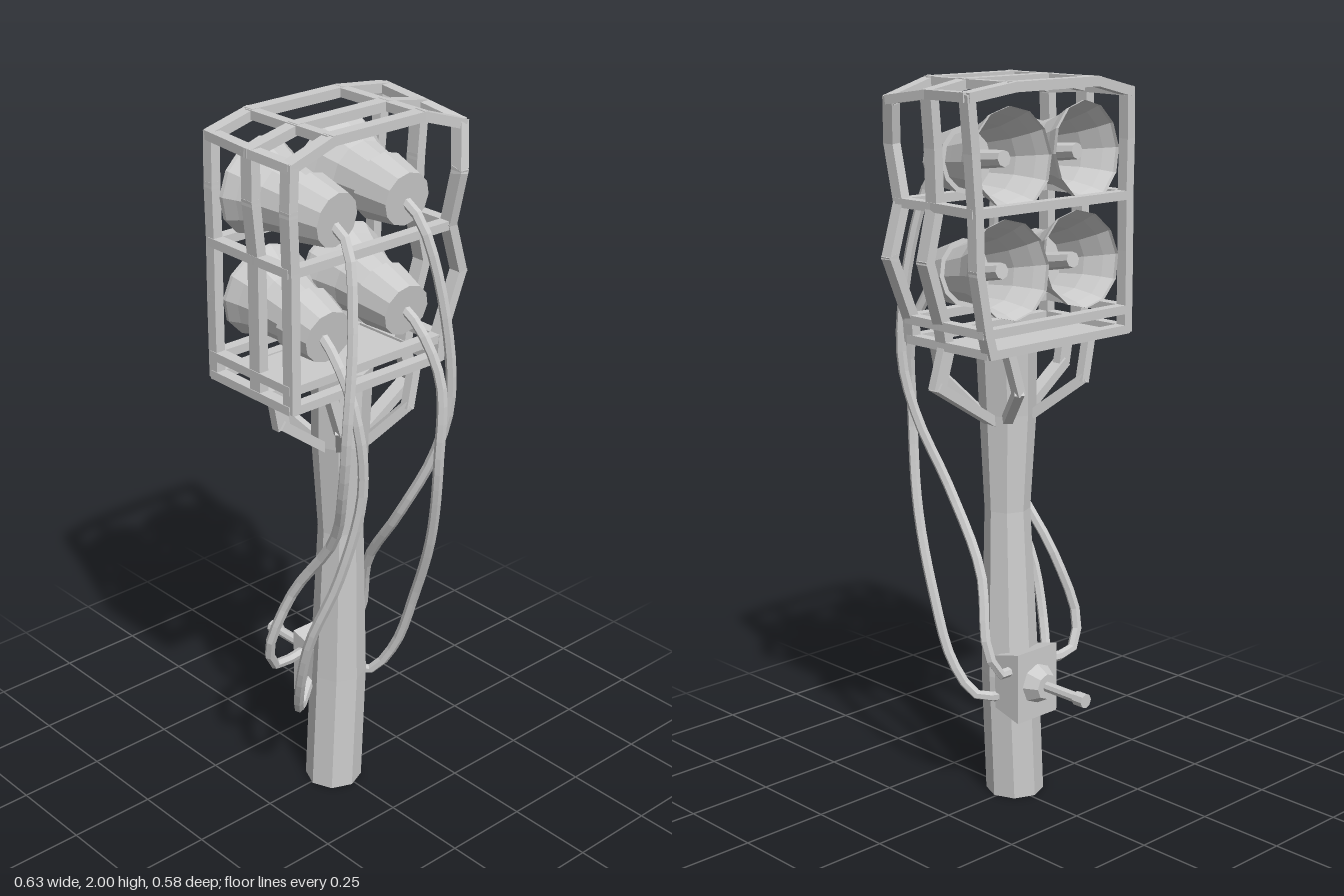
import * as THREE from 'three';

const grey = new THREE.MeshStandardMaterial({ color: 0xcccccc, flatShading: true });
const greyThin = new THREE.MeshStandardMaterial({ color: 0xcccccc, flatShading: true, side: THREE.DoubleSide });
const V = (p) => new THREE.Vector3(...p);

function add(parent, name, geometry, material = grey) {
  const mesh = new THREE.Mesh(geometry, material);
  mesh.name = name;
  parent.add(mesh);
  return mesh;
}

// Rectangular bar between two points
function beam(parent, name, a, b, w, h = w) {
  const p = V(a), q = V(b), dir = q.clone().sub(p);
  const bar = add(parent, name, new THREE.BoxGeometry(w, h, dir.length() + Math.min(w, h) * 0.6));
  bar.position.copy(p).add(q).multiplyScalar(0.5);
  if (Math.abs(dir.y) > 0.9 * dir.length()) bar.up.set(0, 0, 1);
  bar.lookAt(q);
}

function rail(parent, name, points, w, h) {
  for (let i = 1; i < points.length; i++) beam(parent, name, points[i - 1], points[i], w, h);
}

// Crooked octagonal pole lofted through [y, x, z, radius] sections
function makePole(parent) {
  const sections = [
    [0, -0.012, 0.007, 0.081], [0.36, 0.003, 0.01, 0.08], [0.83, -0.002, 0.026, 0.063],
    [1.1, -0.01, 0.032, 0.078], [1.31, 0, 0.028, 0.083],
  ];
  const geo = new THREE.CylinderGeometry(1, 1, 1, 8, sections.length - 1);
  const pos = geo.attributes.position;
  for (let i = 0; i < pos.count; i++) {
    const [y, x, z, r] = sections[Math.round((pos.getY(i) + 0.5) * (sections.length - 1))];
    pos.setXYZ(i, x + pos.getX(i) * r, y, z + pos.getZ(i) * r);
  }
  geo.computeVertexNormals();
  add(parent, 'pole', geo);
}

// Floodlight facing -z: flared reflector, rear housing and bulb
function makeLamp(parent, x, y, tiltX, tiltY) {
  const lamp = new THREE.Group();
  lamp.name = 'floodlight';
  const flare = [[0.076, -0.07], [0.083, -0.03], [0.093, 0.025], [0.114, 0.08], [0.13, 0.112], [0.131, 0.122]];
  add(lamp, 'reflector', new THREE.LatheGeometry(flare.map((p) => new THREE.Vector2(...p)), 12), greyThin);
  add(lamp, 'lampHousing', new THREE.CylinderGeometry(0.092, 0.072, 0.1, 12).translate(0, -0.108, 0));
  add(lamp, 'bulb', new THREE.CylinderGeometry(0.022, 0.026, 0.15, 8).translate(0, 0.01, 0));
  lamp.children.forEach((m) => m.geometry.rotateX(-Math.PI / 2));
  lamp.position.set(x, y, 0);
  lamp.rotation.set(tiltX, tiltY, 0);
  parent.add(lamp);
}

function makeCage(parent) {
  const cage = new THREE.Group();
  cage.name = 'cage';
  parent.add(cage);

  // Posts: points at bottom, lower ring, bulge, middle ring, upper bulge and top
  const left = {
    back: [[-0.285, 1.315, -0.14], [-0.285, 1.37, -0.14], [-0.285, 1.53, -0.14], [-0.283, 1.68, -0.14], [-0.285, 1.83, -0.14], [-0.28, 1.955, -0.143]],
    mid: [[-0.285, 1.315, 0.03], [-0.285, 1.37, 0.03], [-0.285, 1.53, 0.03], [-0.285, 1.68, 0.03], [-0.3, 1.83, 0.03], [-0.298, 1.955, 0.028]],
    front: [[-0.285, 1.315, 0.158], [-0.285, 1.37, 0.158], [-0.285, 1.53, 0.158], [-0.285, 1.68, 0.158], [-0.292, 1.83, 0.16], [-0.285, 1.945, 0.158]],
  };
  const right = {
    back: [[0.22, 1.315, -0.14], [0.235, 1.37, -0.14], [0.265, 1.53, -0.14], [0.268, 1.68, -0.14], [0.28, 1.83, -0.14], [0.297, 1.968, -0.143]],
    mid: [[0.22, 1.315, 0.03], [0.23, 1.37, 0.03], [0.285, 1.54, 0.03], [0.25, 1.68, 0.03], [0.255, 1.83, 0.03], [0.268, 1.965, 0.028]],
    front: [[0.22, 1.315, 0.158], [0.225, 1.37, 0.158], [0.297, 1.54, 0.155], [0.25, 1.68, 0.16], [0.25, 1.83, 0.195], [0.272, 1.945, 0.17]],
  };
  for (const side of [left, right]) {
    rail(cage, 'cagePost', side.back, 0.028, 0.032);
    rail(cage, 'cagePost', side.mid, 0.028, 0.04);
    rail(cage, 'cagePost', side.front, 0.028, 0.036);
    for (const level of [0, 1, 3, 5]) {
      rail(cage, 'sideRail', [side.back[level], side.mid[level], side.front[level]], 0.032, 0.024);
    }
  }

  // Rails across the back and front
  for (const row of ['back', 'front']) {
    for (const level of [0, 1, 3]) beam(cage, 'crossRail', left[row][level], right[row][level], 0.032, 0.024);
  }

  // Bowed roof with two lengthwise bars
  const roofY = 1.986, barX = [-0.155, 0.145];
  for (const row of ['back', 'mid', 'front']) {
    const a = left[row][5], b = right[row][5];
    rail(cage, 'roofRail', [a, [barX[0], roofY, a[2]], [barX[1], roofY, a[2]], b], 0.036, 0.026);
  }
  for (const x of barX) beam(cage, 'roofBar', [x, roofY, -0.14], [x, roofY, 0.155], 0.028, 0.024);

  // Floor plate behind the pole top
  add(cage, 'floorPlate', new THREE.BoxGeometry(0.42, 0.016, 0.19)).position.set(-0.01, 1.315, -0.05);

  makeLamp(cage, -0.146, 1.793, 0.1, 0.08);
  makeLamp(cage, 0.111, 1.793, 0.1, -0.05);
  makeLamp(cage, -0.147, 1.5, 0.16, -0.08);
  makeLamp(cage, 0.118, 1.5, 0.16, -0.06);
}

// Bent struts from the pole to the cage floor
function makeBraces(parent) {
  rail(parent, 'brace', [[-0.05, 1.08, 0.03], [-0.215, 1.205, 0.03], [-0.235, 1.31, 0.03]], 0.04, 0.026);
  rail(parent, 'brace', [[0.04, 1.075, 0.03], [0.248, 1.205, 0.03], [0.215, 1.31, 0.03]], 0.04, 0.026);
  for (const x of [-1, 1]) {
    for (const [z0, z1] of [[0.08, 0.155], [-0.03, -0.142]]) {
      rail(parent, 'cornerBrace', [[x * 0.05, 1.1, z0], [x * 0.12, 1.2, z1], [x * 0.15, 1.31, z1 * 0.95]], 0.026);
    }
  }
}

// Switch box with a lever on the back of the pole
function makeSwitch(parent) {
  const box = new THREE.Group();
  box.name = 'switchBox';
  box.position.set(0.013, 0.355, 0);
  parent.add(box);
  const body = new THREE.BoxGeometry(0.15, 0.2, 0.09);
  const pos = body.attributes.position;
  for (let i = 0; i < pos.count; i++) if (pos.getZ(i) > 0) pos.setY(i, pos.getY(i) * 0.76);
  add(box, 'switchBody', body).position.z = -0.063;
  const along = (name, r0, r1, len, z) => {
    add(box, name, new THREE.CylinderGeometry(r0, r1, len, 8).rotateX(-Math.PI / 2)).position.z = z;
  };
  along('leverSocket', 0.036, 0.058, 0.04, -0.126);
  along('leverRod', 0.015, 0.015, 0.13, -0.203);
  along('leverKnob', 0.02, 0.02, 0.034, -0.276);
}

// Hanging cables from the lamp housings round to the switch box
function makeCables(parent) {
  const runs = [
    [[-0.135, 1.765, 0.14], [-0.14, 1.73, 0.2], [-0.17, 1.53, 0.255], [-0.203, 1.25, 0.271], [-0.188, 1.08, 0.24], [-0.14, 0.88, 0.15],
      [-0.165, 0.67, 0.01], [-0.2, 0.48, -0.05], [-0.16, 0.4, -0.07], [-0.05, 0.4, -0.075]],
    [[-0.172, 1.48, 0.14], [-0.178, 1.44, 0.195], [-0.165, 1.3, 0.26], [-0.148, 1.08, 0.272], [-0.185, 0.82, 0.226],
      [-0.226, 0.6, 0.15], [-0.203, 0.4, 0.08], [-0.15, 0.295, 0.02], [-0.05, 0.32, -0.05]],
    [[0.105, 1.775, 0.14], [0.11, 1.73, 0.2], [0.14, 1.53, 0.255], [0.163, 1.25, 0.271], [0.14, 1.08, 0.24], [0.1, 0.88, 0.15],
      [0.115, 0.67, 0.01], [0.15, 0.48, -0.05], [0.12, 0.4, -0.07], [0.06, 0.4, -0.075]],
    [[0.11, 1.48, 0.14], [0.115, 1.44, 0.195], [0.135, 1.3, 0.26], [0.125, 1.08, 0.272], [0.15, 0.82, 0.226],
      [0.166, 0.6, 0.15], [0.155, 0.4, 0.08], [0.115, 0.31, 0.02], [0.06, 0.32, -0.05]],
  ];
  for (const run of runs) {
    add(parent, 'cable', new THREE.TubeGeometry(new THREE.CatmullRomCurve3(run.map(V)), 28, 0.0145, 6));
  }
}

export function createModel() {
  const model = new THREE.Group();
  model.name = 'floodlightTower';
  makePole(model);
  makeCage(model);
  makeBraces(model);
  makeSwitch(model);
  makeCables(model);
  return model;
}
